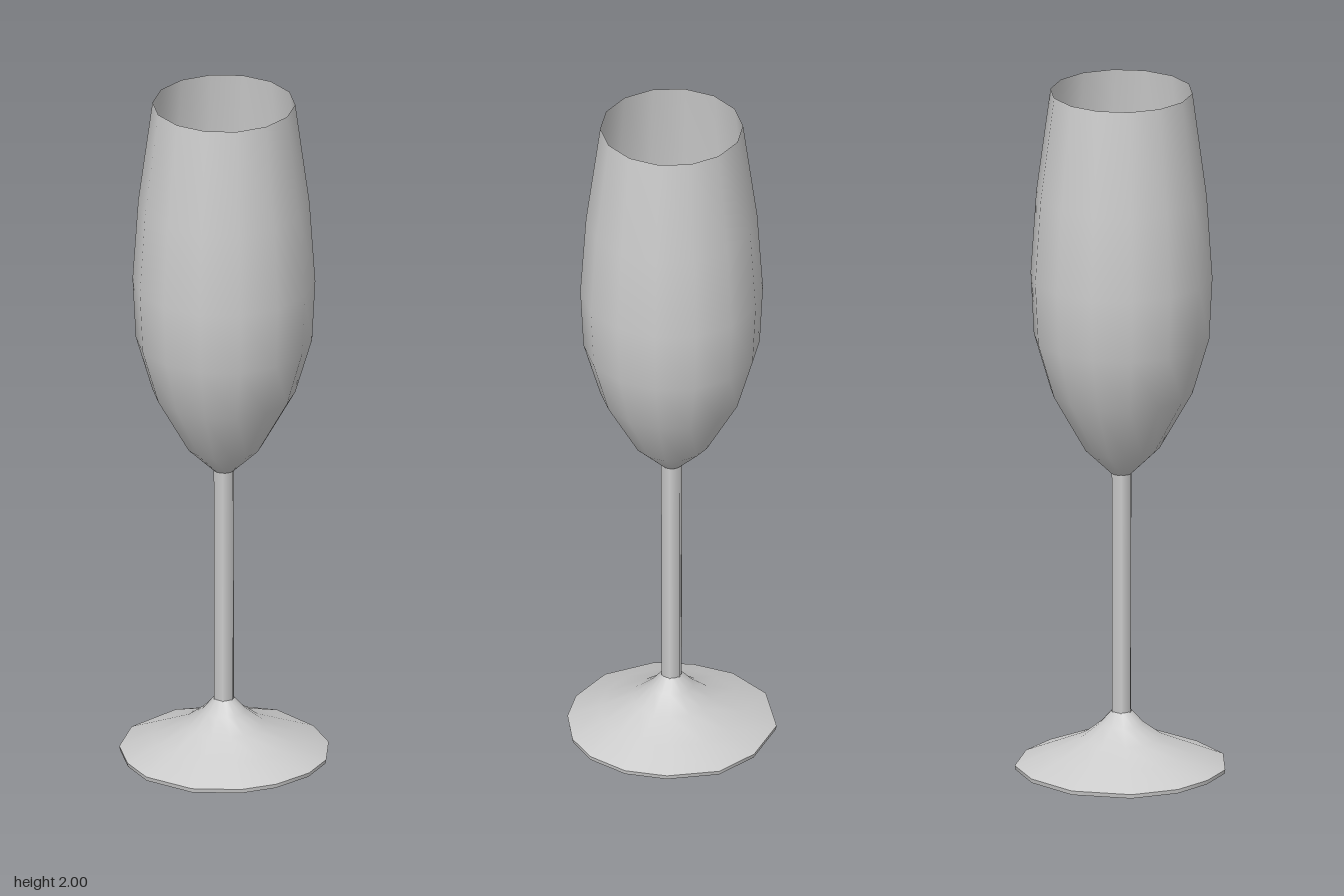
import * as THREE from 'three';

const SIDES = 14;
const PHASE = Math.PI / SIDES;
const grey = new THREE.MeshStandardMaterial({ color: 0xcccccc, side: THREE.DoubleSide });
const yellow = new THREE.MeshStandardMaterial({ color: 0xf0eab4, side: THREE.DoubleSide });

// Revolve [radius, height] pairs listed from bottom to top.
function revolve(profile, sides, phase = 0) {
  const pts = profile.map(([r, y]) => new THREE.Vector2(r, y));
  return new THREE.LatheGeometry(pts, sides, phase);
}

function part(name, geometry, material = grey) {
  const mesh = new THREE.Mesh(geometry, material);
  mesh.name = name;
  return mesh;
}

// Uneven foot outline, starting at the front and going round by the left.
const footOutline = [
  [0.035, 0.29], [0.15, 0.255], [0.23, 0.19], [0.285, 0.08], [0.29, -0.04],
  [0.24, -0.18], [0.135, -0.26], [-0.02, -0.295], [-0.18, -0.235],
  [-0.265, -0.125], [-0.29, -0.01], [-0.28, 0.1], [-0.195, 0.225], [-0.07, 0.285],
];

// Revolved surface whose rings follow the foot outline.
function footSurface(profile) {
  const geometry = revolve(profile, SIDES);
  const pos = geometry.attributes.position;
  for (let i = 0; i < pos.count; i++) {
    const [x, z] = footOutline[Math.floor(i / profile.length) % SIDES];
    const scale = profile[i % profile.length][0] / 0.29;
    pos.setX(i, x * scale);
    pos.setZ(i, z * scale);
  }
  return geometry;
}

// Outer and inner bowl walls, from the stem to the shared rim.
const outerProfile = [
  [0, 0.878], [0.03, 0.88], [0.107, 0.955], [0.2, 1.12], [0.247, 1.28],
  [0.256, 1.46], [0.24, 1.7], [0.2, 2],
];
const innerProfile = [
  [0, 0.892], [0.026, 0.894], [0.097, 0.961], [0.19, 1.123], [0.238, 1.28],
  [0.247, 1.46], [0.232, 1.7], [0.2, 2],
];

// Repeatable value from 0 to 1 for a grid cell.
function noise(column, row) {
  const n = Math.sin(column * 12.9898 + row * 78.233) * 43758.5453;
  return n - Math.floor(n);
}

// Wine lining: follows the inner wall and weaves slightly through it, leaving patches.
function wineLining() {
  const steps = 3;
  const profile = [];
  for (let i = 0; i < 4; i++) {
    const [r0, y0] = innerProfile[i];
    const [r1, y1] = innerProfile[i + 1];
    for (let k = 0; k < steps; k++) {
      const t = k / steps;
      profile.push([r0 + (r1 - r0) * t, y0 + (y1 - y0) * t]);
    }
  }
  profile.push(innerProfile[4]);
  profile.reverse(); // faces point inward
  const geometry = revolve(profile, SIDES, PHASE);
  const pos = geometry.attributes.position;
  for (let i = 0; i < pos.count; i++) {
    const column = Math.floor(i / profile.length) % SIDES;
    const row = i % profile.length;
    const r = profile[row][0];
    const offset = 0.008 * (noise(column, row) - 0.48);
    const scale = r > 0.02 ? 1 - offset / r : 1;
    const lift = r > 0.02 ? 0 : 0.003;
    pos.setXYZ(i, pos.getX(i) * scale, pos.getY(i) + lift, pos.getZ(i) * scale);
  }
  return geometry;
}

export function createModel() {
  const glass = new THREE.Group();
  glass.name = 'champagneFlute';

  // Double-walled bowl with wine inside
  glass.add(part('bowlOutside', revolve(outerProfile, SIDES, PHASE)));
  glass.add(part('bowlInside', revolve([...innerProfile].reverse(), SIDES, PHASE)));
  glass.add(part('wine', wineLining(), yellow));

  // Slim six-sided stem
  glass.add(part('stem', revolve([[0.03, 0.17], [0.031, 0.885]], 6, Math.PI / 6)));

  // Foot: sloping top, thin edge, shallow underside
  const foot = new THREE.Group();
  foot.name = 'foot';
  foot.add(part('footTop', footSurface([[0.29, 0.027], [0.2, 0.066], [0.11, 0.105], [0.06, 0.145], [0.028, 0.182]])));
  foot.add(part('footEdge', footSurface([[0.288, 0.015], [0.29, 0.027]])));
  foot.add(part('footUnderside', footSurface([[0, 0], [0.16, 0.003], [0.288, 0.015]])));
  glass.add(foot);

  return glass;
}
